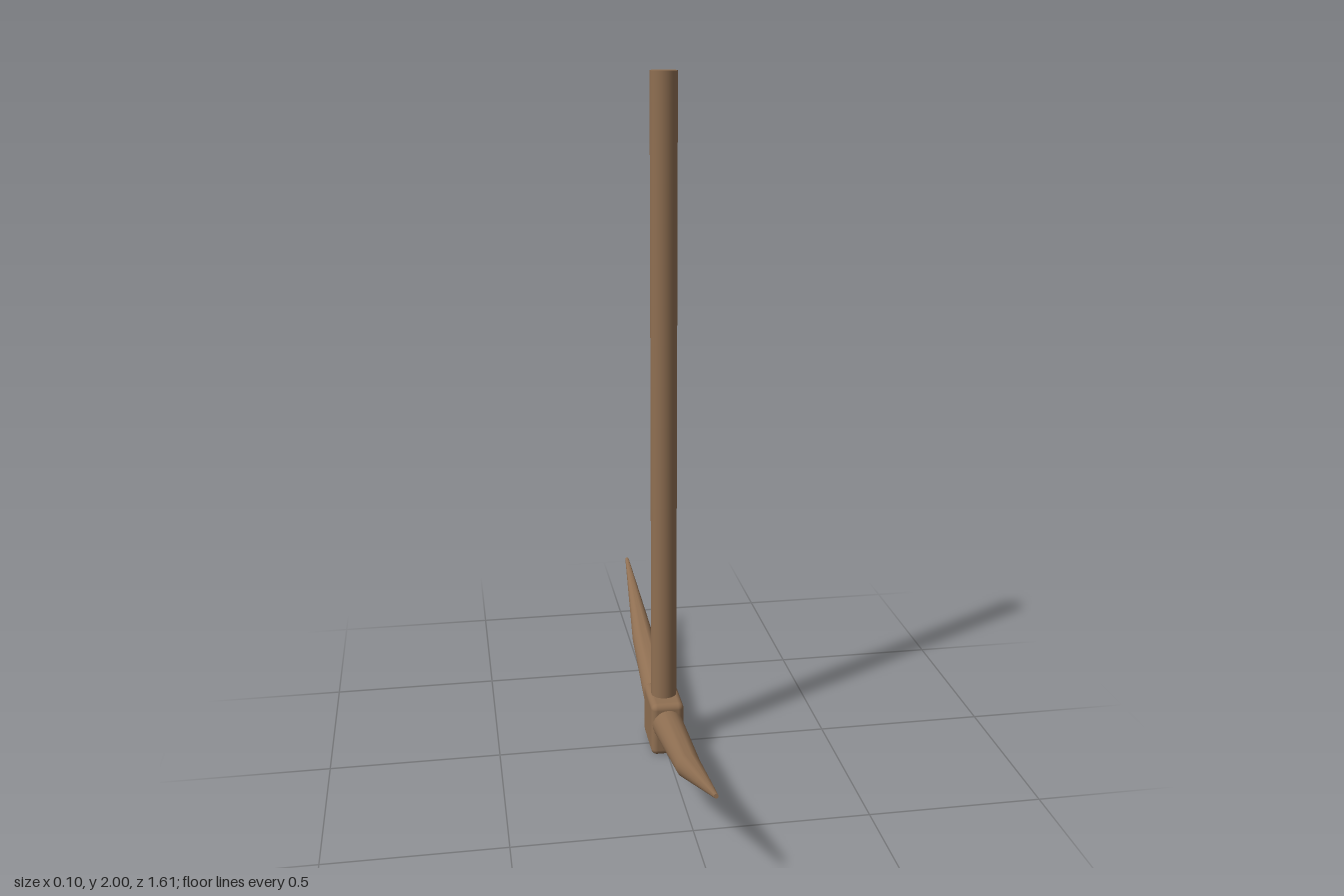
import * as THREE from 'three';
import { toCreasedNormals } from 'three/addons/utils/BufferGeometryUtils.js';
import { RoundedBoxGeometry } from 'three/addons/geometries/RoundedBoxGeometry.js';

// Spike cross-sections from the head outwards: distance, height, radius
const SECTIONS = [
  { z: 0.04, y: 0.094, r: 0.047 },
  { z: 0.425, y: 0.155, r: 0.035 },
  { z: 0.805, y: 0.286, r: 0.006 },
];

// Bent, tapering spike: a cylinder laid along +z with its rings moved onto the sections
function spikeGeometry() {
  const geometry = new THREE.CylinderGeometry(1, 1, 1, 24, SECTIONS.length - 1);
  geometry.rotateX(Math.PI / 2);
  const p = geometry.attributes.position;
  for (let i = 0; i < p.count; i++) {
    const s = SECTIONS[Math.round((p.getZ(i) + 0.5) * (SECTIONS.length - 1))];
    // rings lean slightly so they stay square to the bend
    p.setXYZ(i, p.getX(i) * s.r, s.y + p.getY(i) * s.r, s.z - p.getY(i) * s.r * 0.15);
  }
  return toCreasedNormals(geometry, 0.6);
}

export function createModel() {
  const wood = new THREE.MeshStandardMaterial({ color: 0x8f6f52 });
  wood.name = 'brown wood';
  const model = new THREE.Group();
  model.name = 'pickaxe';

  const add = (name, geometry) => {
    const mesh = new THREE.Mesh(geometry, wood);
    mesh.name = name;
    model.add(mesh);
    return mesh;
  };

  // Long straight handle rising out of the head
  add('handle', new THREE.CylinderGeometry(0.038, 0.038, 1.9, 32)).position.y = 1.05;

  // Rounded block that joins handle and spikes
  add('headBlock', new RoundedBoxGeometry(0.098, 0.166, 0.166, 4, 0.018)).position.y = 0.085;
  model.getObjectByName('headBlock').position.y = 0.083;

  // Matching spikes to the front and back
  const spike = spikeGeometry();
  add('frontSpike', spike);
  add('backSpike', spike).rotation.y = Math.PI;

  return model;
}
